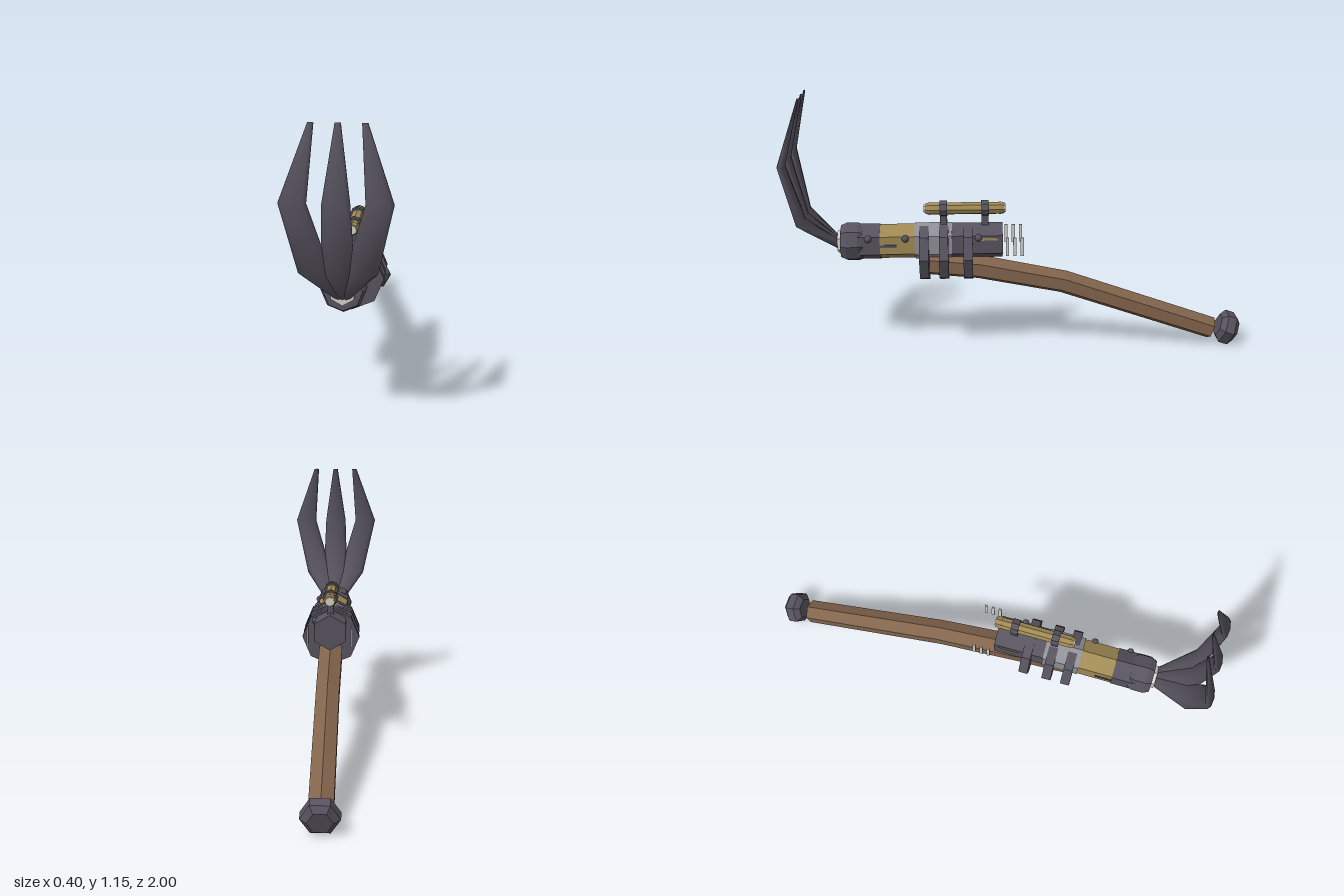
import * as THREE from 'three';

const mat = (name, color) => Object.assign(new THREE.MeshStandardMaterial({ color }), { name });

export function createModel() {
  const root = new THREE.Group();
  root.name = 'clawLauncher';
  const iron = mat('darkIron', 0x57535f);
  const brass = mat('brass', 0xa08a55);
  const wood = mat('wood', 0x82644c);
  const steel = mat('steel', 0x8f9098);
  const pale = mat('paleMetal', 0xd2cfc8);

  const add = (name, geo, material, x = 0, y = 0, z = 0, parent = root) => {
    const m = new THREE.Mesh(geo, material);
    m.name = name;
    m.position.set(x, y, z);
    parent.add(m);
    return m;
  };
  const faceted = (geo) => {
    const g = geo.index ? geo.toNonIndexed() : geo;
    g.computeVertexNormals();
    return g;
  };
  // Faceted prism along z between z0 and z1, with a corner pointing down
  const prism = (name, z0, z1, r0, r1, sides, material, y = 0.5) =>
    add(name, faceted(new THREE.CylinderGeometry(r1, r0, z1 - z0, sides).rotateX(Math.PI / 2)),
      material, 0, y, (z0 + z1) / 2);

  // Loft of elliptical rings [x, y, z, halfWidth, halfThickness] along a bent path
  const loft = (rings, n) => {
    const pos = [], idx = [], last = rings.length - 1;
    rings.forEach(([x, y, z, a, b], i) => {
      const p = rings[Math.max(i - 1, 0)], q = rings[Math.min(i + 1, last)];
      const l = Math.hypot(q[1] - p[1], q[2] - p[2]);
      const ty = (q[1] - p[1]) / l, tz = (q[2] - p[2]) / l;
      for (let j = 0; j < n; j++) {
        const t = (j / n) * Math.PI * 2 + Math.PI / 2;
        const s = Math.sin(t) * b;
        pos.push(x + Math.cos(t) * a, y + tz * s, z - ty * s);
      }
    });
    for (let i = 0; i < last; i++) {
      for (let j = 0; j < n; j++) {
        const a = i * n + j, b = i * n + ((j + 1) % n);
        idx.push(a, b, a + n, b, b + n, a + n);
      }
    }
    for (let j = 1; j < n - 1; j++) {
      idx.push(0, j + 1, j, last * n, last * n + j, last * n + j + 1);
    }
    const g = new THREE.BufferGeometry();
    g.setAttribute('position', new THREE.Float32BufferAttribute(pos, 3));
    g.setIndex(idx);
    g.computeVertexNormals();
    return g;
  };

  // Barrel sections from breech to muzzle
  prism('breech', 0.07, 0.29, 0.08, 0.08, 6, iron);
  prism('receiver', 0.29, 0.45, 0.083, 0.083, 6, steel);
  prism('barrel', 0.45, 0.6, 0.078, 0.078, 6, brass);
  prism('muzzle', 0.6, 0.7, 0.081, 0.081, 6, iron);
  prism('collarRear', 0.675, 0.695, 0.076, 0.086, 8, iron);
  prism('collar', 0.695, 0.745, 0.086, 0.086, 8, iron);
  prism('collarFront', 0.745, 0.77, 0.086, 0.074, 8, iron);
  prism('muzzlePlate', 0.77, 0.785, 0.05, 0.05, 6, pale);

  // Straps binding barrel and handle
  for (const z of [0.41, 0.325, 0.22]) {
    prism('strap', z - 0.02, z + 0.02, 0.13, 0.13, 8, iron, 0.45);
  }

  // Bent wooden handle and pommel
  add('handle', faceted(loft([
    [0, 0.4, 0.42, 0.06, 0.054],
    [0, 0.375, 0.17, 0.06, 0.054],
    [0, 0.3, -0.2, 0.057, 0.052],
    [0, 0.066, -0.873, 0.055, 0.05],
  ], 6)), wood);
  const knob = [[0, -0.042], [0.05, -0.042], [0.076, -0.02], [0.076, 0.02], [0.05, 0.042], [0, 0.042]]
    .map(([r, h]) => new THREE.Vector2(r, h));
  const pommel = add('pommel',
    faceted(new THREE.LatheGeometry(knob, 6, Math.PI / 2).rotateX(Math.PI / 2)),
    iron, 0, 0.067, -0.944);
  pommel.rotation.x = -0.33;

  // Sighting tube with mounts
  prism('scopeTube', 0.085, 0.385, 0.027, 0.027, 8, brass, 0.645);
  prism('scopeRear', 0.06, 0.085, 0.024, 0.029, 8, brass, 0.645);
  prism('scopeFront', 0.385, 0.405, 0.029, 0.021, 8, brass, 0.645);
  prism('lensFront', 0.405, 0.41, 0.018, 0.018, 8, pale, 0.645);
  prism('lensRear', 0.056, 0.06, 0.019, 0.019, 8, pale, 0.645);
  for (const z of [0.145, 0.325]) {
    prism('scopeBand', z - 0.016, z + 0.016, 0.035, 0.035, 8, iron, 0.645);
    add('scopePost', new THREE.BoxGeometry(0.03, 0.07, 0.03), iron, 0, 0.59, z);
  }

  // Rivets along the left side
  for (const z of [0.65, 0.49, 0.175]) {
    add('rivet', new THREE.SphereGeometry(0.016, 10, 8), iron, 0.07, 0.532, z);
  }

  for (const s of [-1, 1]) {
    // Thin inlays on the barrel flanks
    add('breechInlay', new THREE.BoxGeometry(0.006, 0.012, 0.09), brass, s * 0.069, 0.525, 0.135);
    add('barrelSlot', new THREE.BoxGeometry(0.006, 0.012, 0.075), iron, s * 0.068, 0.497, 0.565);
    // Vent slats standing off behind the breech
    for (const z of [0.051, 0.019, -0.013]) {
      add('slat', new THREE.BoxGeometry(0.006, 0.082, 0.014), pale, s * 0.096, 0.498, z);
    }
  }

  // Three curved claws
  for (const s of [-1, 0, 1]) {
    add(s ? 'outerClaw' : 'middleClaw', loft([
      [s * 0.015, 0.49, 0.775, 0.022, 0.02],
      [s * 0.082, 0.615, 0.928, 0.06, 0.022],
      [s * 0.152, 0.88, 0.983, 0.05, 0.017],
      [s * 0.095, 1.149, 0.908, 0.011, 0.004],
    ], 8), iron);
  }
  return root;
}
